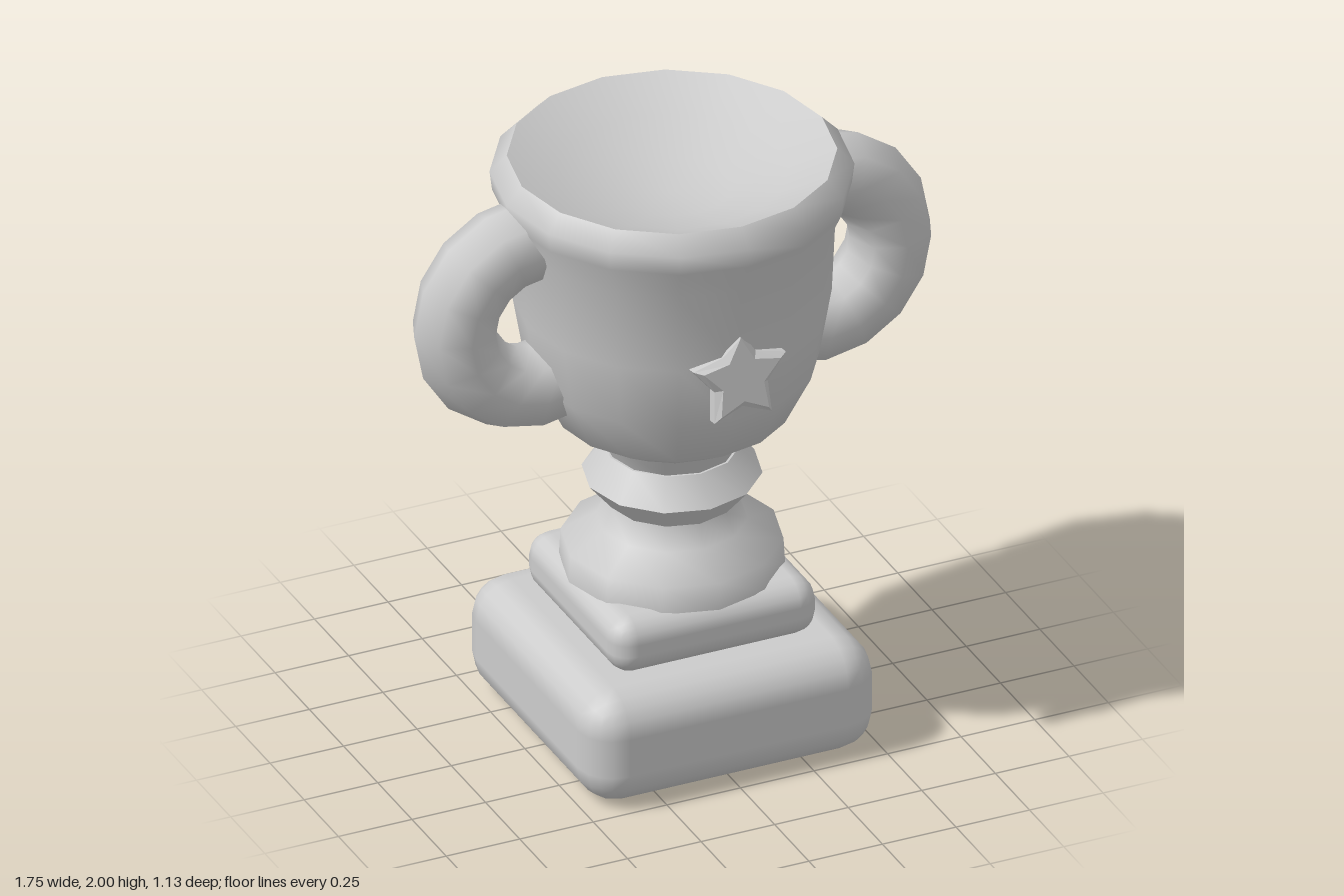
import * as THREE from 'three';
import { toCreasedNormals } from 'three/addons/utils/BufferGeometryUtils.js';
import { RoundedBoxGeometry } from 'three/addons/geometries/RoundedBoxGeometry.js';

export function createModel() {
  const model = new THREE.Group();
  const material = new THREE.MeshStandardMaterial({ color: 0xcccccc });

  const add = (name, geometry, x = 0, y = 0, z = 0) => {
    const mesh = new THREE.Mesh(geometry, material);
    mesh.name = name;
    mesh.position.set(x, y, z);
    model.add(mesh);
    return mesh;
  };
  // Turned part from [radius, height] pairs; sharp bends stay creased
  const turned = (profile, sides, crease = 0.75) => toCreasedNormals(
    new THREE.LatheGeometry(profile.map(([r, y]) => new THREE.Vector2(r, y)), sides), crease);

  // Two stacked, rounded plinth blocks
  add('lowerPlinth', new RoundedBoxGeometry(0.99, 0.38, 0.99, 2, 0.125), 0, 0.19, 0);
  add('upperPlinth', new RoundedBoxGeometry(0.7, 0.19, 0.7, 2, 0.075), 0, 0.472, 0);

  // Flared foot, pointed ring and neck
  add('foot', turned([[0, 0.555], [0.35, 0.555], [0.345, 0.645], [0.235, 0.71], [0.205, 0.785]], 12, 1.3));
  add('stemRing', turned([[0, 0.785], [0.205, 0.785], [0.28, 0.875], [0.21, 0.965], [0, 0.965]], 12));
  add('neck', turned([[0.2, 0.96], [0.235, 1.03]], 12));

  // Bowl: outer wall, rolled lip and a shallow dished top
  add('bowl', turned([
    [0, 1.02], [0.225, 1.022], [0.37, 1.11], [0.455, 1.28], [0.493, 1.5], [0.505, 1.77],
    [0.555, 1.88], [0.563, 1.945], [0.51, 2],
    [0.36, 1.93], [0.18, 1.875], [0, 1.855],
  ], 16, 0.95));

  // Handles: a little over half a ring on each side
  const step = Math.PI / 8;
  for (const side of [1, -1]) {
    const ring = new THREE.TorusGeometry(0.26, 0.136, 8, 9, 9 * step);
    ring.rotateZ(-5 * step);
    if (side < 0) ring.rotateY(Math.PI);
    add(side > 0 ? 'leftHandle' : 'rightHandle', ring, side * 0.48, 1.551, 0);
  }

  // Bevelled star leaning back against the front of the bowl
  const star = new THREE.Shape();
  for (let i = 0; i < 10; i++) {
    const r = i % 2 ? 0.073 : 0.137;
    const a = Math.PI / 2 + i * Math.PI / 5;
    star[i ? 'lineTo' : 'moveTo'](r * Math.cos(a), r * Math.sin(a));
  }
  star.closePath();
  const badge = add('star', new THREE.ExtrudeGeometry(star, {
    depth: 0.035, bevelEnabled: true, bevelThickness: 0.02, bevelSize: 0.02, bevelSegments: 1,
  }), 0, 1.455, 0.467);
  badge.rotation.x = -0.14;

  return model;
}
